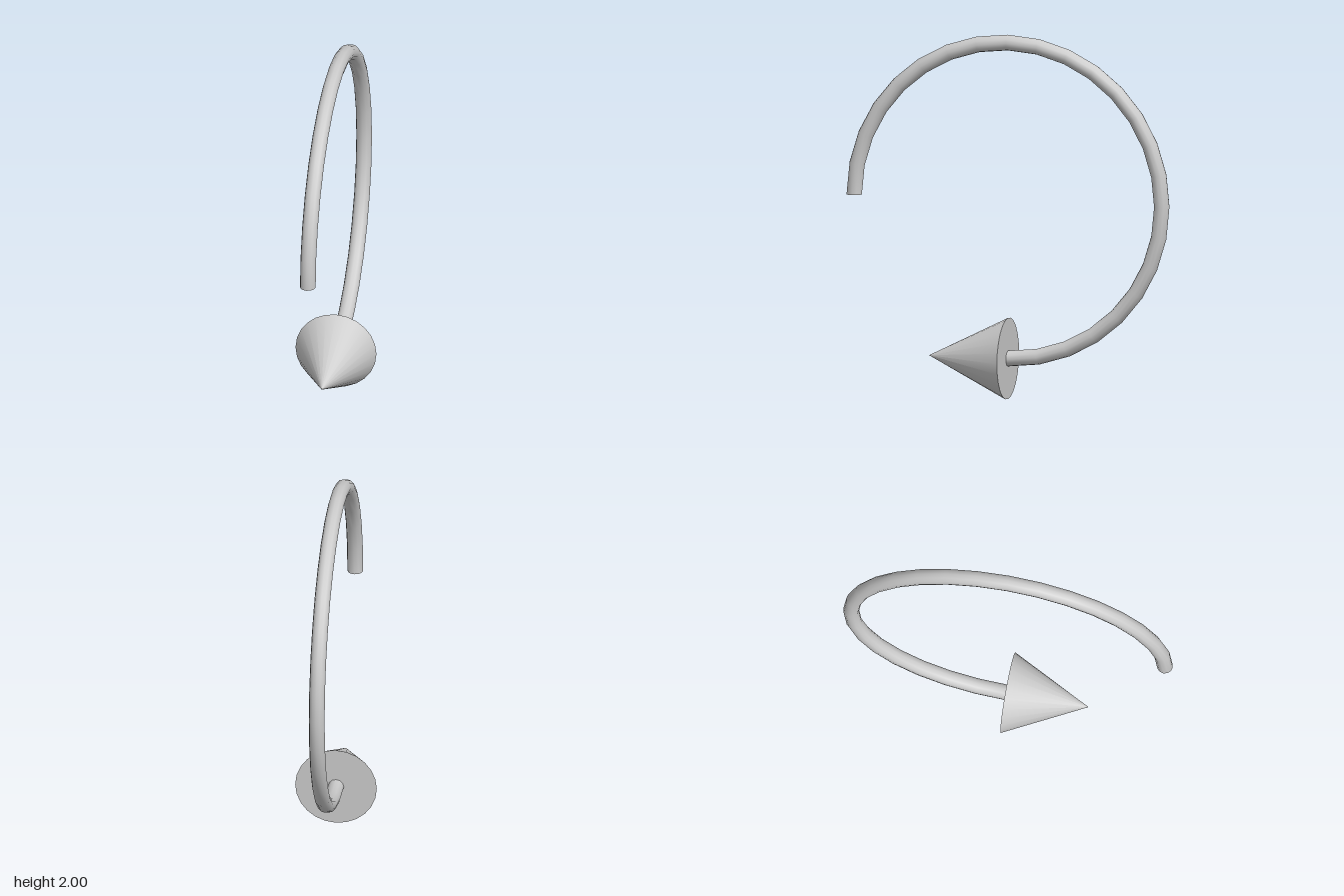
import * as THREE from 'three';

export function createModel() {
  const model = new THREE.Group();
  model.name = 'curvedArrow';
  const material = new THREE.MeshStandardMaterial({ color: 0xcccccc, side: THREE.DoubleSide });

  const ringRadius = 0.867, tubeRadius = 0.043, headRadius = 0.223, headLength = 0.445;

  // Three-quarter ring: from the front, over the top and back, to the bottom
  const shaft = new THREE.Mesh(
    new THREE.TorusGeometry(ringRadius, tubeRadius, 12, 24, Math.PI * 1.5).rotateY(-Math.PI / 2),
    material
  );
  shaft.name = 'curvedShaft';
  shaft.position.y = headRadius + ringRadius;
  model.add(shaft);

  // Cone pointing forward from the bottom end of the ring
  const head = new THREE.Mesh(
    new THREE.ConeGeometry(headRadius, headLength, 24).rotateX(Math.PI / 2),
    material
  );
  head.name = 'arrowHead';
  head.position.set(0, headRadius, headLength / 2);
  model.add(head);

  return model;
}
